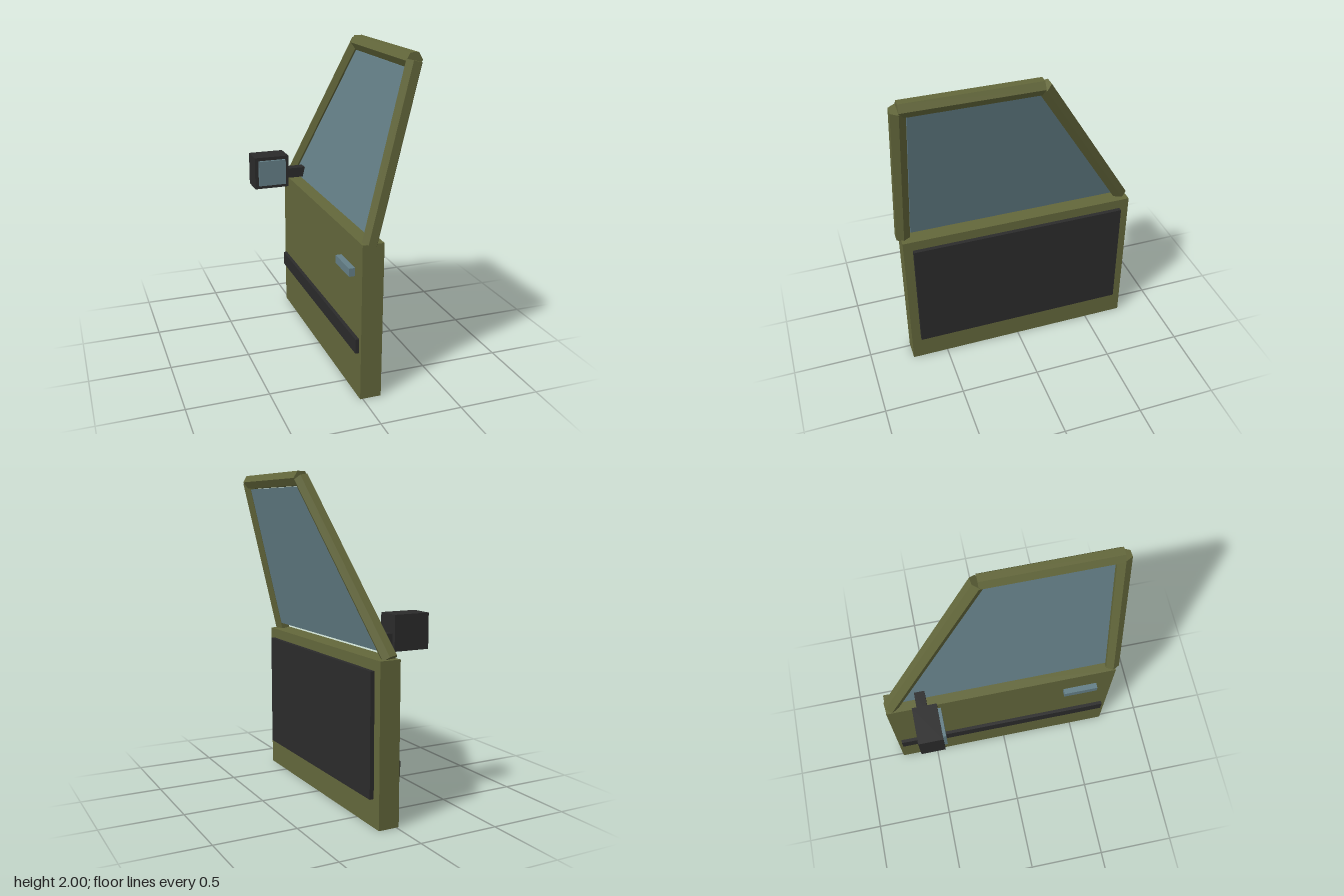
import * as THREE from 'three';

const material = (name, color) => {
  const m = new THREE.MeshStandardMaterial({ color });
  m.name = name;
  return m;
};

export function createModel() {
  const olive = material('olive paint', 0x63673b);
  const dark = material('dark trim', 0x2b2b2b);
  const glass = material('blue grey glass', 0x647f87);

  const model = new THREE.Group();
  model.name = 'vehicleDoor';

  const add = (name, geometry, mat) => {
    const mesh = new THREE.Mesh(geometry, mat);
    mesh.name = name;
    model.add(mesh);
    return mesh;
  };

  // Box given by its lower and upper limits on each axis
  const box = (name, mat, [x0, x1], [y0, y1], [z0, z1]) =>
    add(name, new THREE.BoxGeometry(x1 - x0, y1 - y0, z1 - z0), mat)
      .position.set((x0 + x1) / 2, (y0 + y1) / 2, (z0 + z1) / 2);

  // Straight hexagonal bar with two of its ridges turned towards +x and -x
  const bar = (name, from, to) => {
    const a = new THREE.Vector3(...from);
    const b = new THREE.Vector3(...to);
    const axis = b.clone().sub(a);
    const length = axis.length();
    axis.normalize();
    const ridge = new THREE.Vector3(1, 0, 0).addScaledVector(axis, -axis.x).normalize();
    const side = new THREE.Vector3().crossVectors(axis, ridge);
    const geometry = new THREE.CylinderGeometry(0.0485, 0.0485, length, 6).toNonIndexed();
    geometry.computeVertexNormals();
    const mesh = add(name, geometry, olive);
    mesh.quaternion.setFromRotationMatrix(new THREE.Matrix4().makeBasis(side, axis, ridge));
    mesh.position.copy(a).add(b).multiplyScalar(0.5);
  };

  // Lower door
  box('doorBody', olive, [-0.016, 0.114], [0, 0.963], [-0.75, 0.73]);
  box('innerPanel', dark, [0.1, 0.14], [0.168, 0.9], [-0.69, 0.672]);
  box('sideMoulding', dark, [-0.038, -0.01], [0.287, 0.377], [-0.724, 0.7]);
  box('doorHandle', glass, [-0.052, -0.01], [0.737, 0.787], [0.4, 0.62]);

  // Leaning window frame
  const rearBase = [0.032, 0.963, 0.713];
  const rearTop = [0.265, 1.958, 0.713];
  const frontBase = [0.032, 0.963, -0.716];
  const frontTop = [0.265, 1.958, -0.086];
  bar('rearPost', rearBase, rearTop);
  bar('topRail', rearTop, frontTop);
  bar('frontPost', frontBase, frontTop);

  // Thick window pane: its outline is drawn in z and y, then leaned with the frame
  const outline = new THREE.Shape(
    [[0.668, 1], [0.668, 1.911], [-0.09, 1.911], [-0.67, 1]].map(([z, y]) => new THREE.Vector2(-z, y)));
  const pane = new THREE.ExtrudeGeometry(outline, { depth: 0.032, bevelEnabled: false });
  pane.rotateY(Math.PI / 2);
  const lean = 0.234;
  pane.applyMatrix4(new THREE.Matrix4().makeShear(0, 0, lean, 0, 0, 0));
  pane.translate(0.032 - lean, 0, 0);
  pane.computeVertexNormals();
  add('windowPane', pane, glass);

  // Wing mirror
  box('mirrorArm', dark, [-0.1, 0.052], [1.012, 1.077], [-0.552, -0.487]);
  box('mirrorHousing', dark, [-0.315, -0.085], [0.973, 1.186], [-0.576, -0.425]);
  box('mirrorGlass', glass, [-0.291, -0.109], [0.997, 1.164], [-0.43, -0.406]);

  return model;
}
